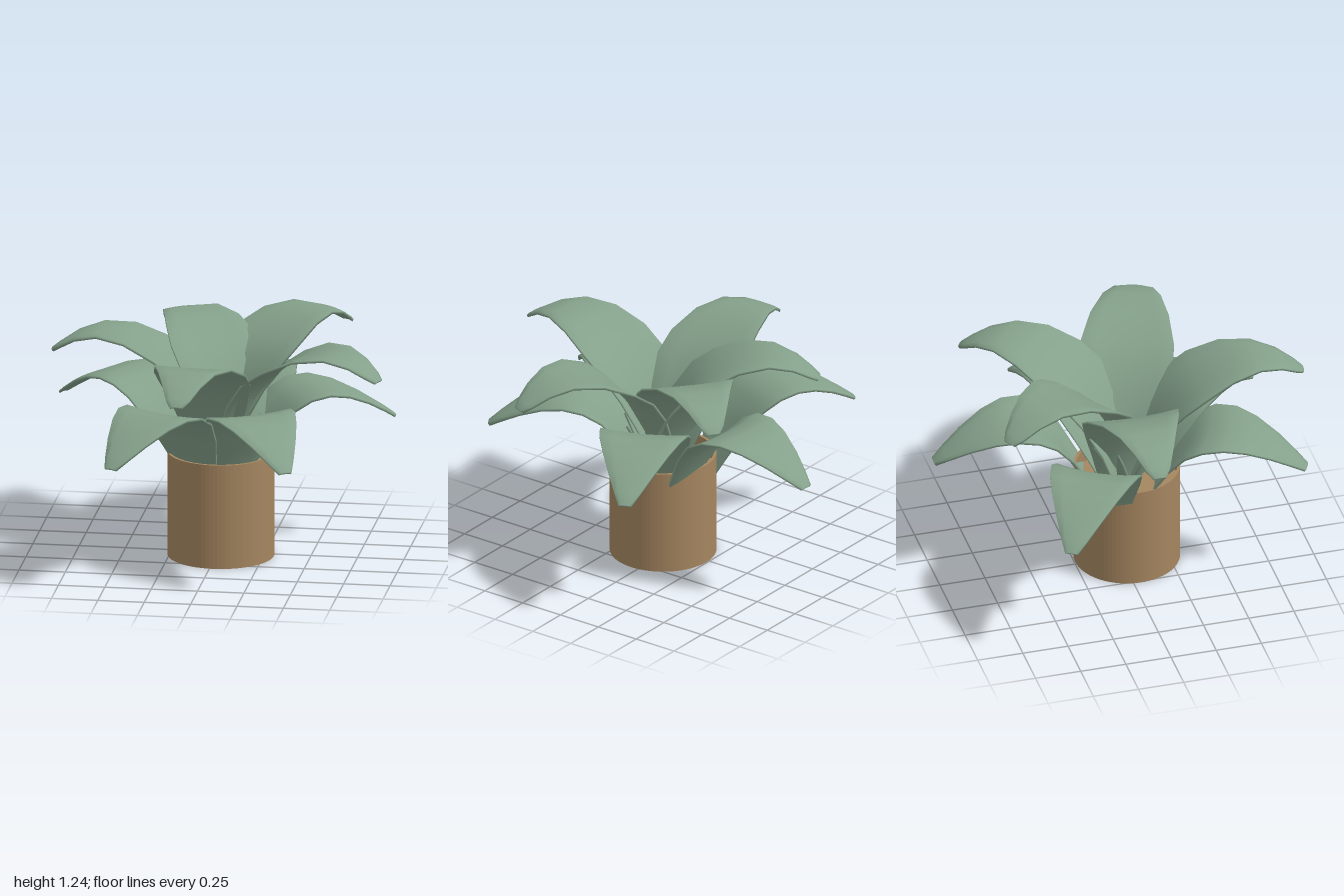
import * as THREE from 'three';

const GREEN = new THREE.MeshStandardMaterial({ color: 0x84a08a });
const BROWN = new THREE.MeshStandardMaterial({ color: 0xa58660 });

// Leaf midribs: [outward distance, height, half width], base to tip
const UPPER = [
  [0.02, 0.5, 0.1], [0.07, 0.68, 0.15], [0.16, 0.87, 0.21], [0.26, 1.01, 0.25], [0.37, 1.1, 0.25],
  [0.53, 1.185, 0.21], [0.69, 1.21, 0.155], [0.82, 1.175, 0.105], [0.91, 1.12, 0.065], [0.95, 1.09, 0.035],
];
const LOWER = [
  [0.12, 0.4, 0.1], [0.21, 0.56, 0.15], [0.29, 0.7, 0.2], [0.38, 0.82, 0.235], [0.47, 0.88, 0.24],
  [0.58, 0.902, 0.22], [0.7, 0.882, 0.18], [0.83, 0.825, 0.125], [0.94, 0.755, 0.07], [1.0, 0.71, 0.035],
];
// Slender young shoot
const SHOOT = [[0.03, 0.45, 0.025], [0.1, 0.57, 0.03], [0.16, 0.68, 0.02], [0.21, 0.77, 0.003]];

// Thin closed blade swept along a midrib; cupped near the base, rims turned down near the tip
function bladeGeometry(rib, thick) {
  const n = 6, loop = 2 * (n + 1), pos = [], index = [];
  rib.forEach(([r, y, w], i) => {
    const a = rib[Math.max(i - 1, 0)], b = rib[Math.min(i + 1, rib.length - 1)];
    const dir = new THREE.Vector2(b[0] - a[0], b[1] - a[1]).normalize();
    const bend = THREE.MathUtils.lerp(0.22, -0.14, i / (rib.length - 1)) * w;
    for (let k = 0; k < loop; k++) {
      const top = k <= n;
      const u = ((top ? k : loop - 1 - k) / n) * 2 - 1;
      const off = bend * u * u + (top ? 0 : -thick);
      pos.push(u * w, y + dir.x * off, r - dir.y * off);
    }
  });
  for (let i = 0; i < rib.length - 1; i++) {
    for (let k = 0; k < loop; k++) {
      const a = i * loop + k, b = i * loop + ((k + 1) % loop);
      index.push(a, a + loop, b, b, a + loop, b + loop);
    }
  }
  // tip cap
  const e = (rib.length - 1) * loop;
  for (let k = 0; k < n; k++) {
    const a = e + k, b = a + 1, c = e + loop - 1 - k, d = c - 1;
    index.push(a, c, b, b, c, d);
  }
  const g = new THREE.BufferGeometry();
  g.setAttribute('position', new THREE.Float32BufferAttribute(pos, 3));
  g.setIndex(index);
  g.computeVertexNormals();
  return g;
}

function add(parent, name, geometry, material) {
  const mesh = new THREE.Mesh(geometry, material);
  mesh.name = name;
  parent.add(mesh);
  return mesh;
}

// Places leaves so each tip lands on [x, z] with heading [dx, dz]
function leafTier(name, rib, leaves) {
  const tier = new THREE.Group();
  tier.name = name;
  const geometry = bladeGeometry(rib, 0.014);
  const reach = rib[rib.length - 1][0];
  for (const [x, z, dx, dz, lift = 0] of leaves) {
    const d = new THREE.Vector2(dx, dz).normalize();
    const leaf = add(tier, 'leaf', geometry, GREEN);
    leaf.position.set(x - d.x * reach, lift, z - d.y * reach);
    leaf.rotation.y = Math.atan2(d.x, d.y);
  }
  return tier;
}

export function createModel() {
  const model = new THREE.Group();
  model.name = 'pottedPlant';

  // Pot: straight cylinder with a thin wall, soil just below the rim
  const pot = new THREE.Group();
  pot.name = 'pot';
  pot.position.set(0.02, 0, 0.04);
  const wall = new THREE.Shape().absarc(0, 0, 0.285, 0, Math.PI * 2);
  wall.holes.push(new THREE.Path().absarc(0, 0, 0.27, 0, Math.PI * 2, true));
  const wallGeometry = new THREE.ExtrudeGeometry(wall, { depth: 0.575, bevelEnabled: false, curveSegments: 40 });
  add(pot, 'potWall', wallGeometry.rotateX(-Math.PI / 2), BROWN);
  add(pot, 'potFilling', new THREE.CylinderGeometry(0.272, 0.272, 0.49, 40).translate(0, 0.245, 0), BROWN);
  model.add(pot);

  // Two tiers of five arching leaves
  model.add(leafTier('upperLeaves', UPPER, [
    [0.6, -0.72, 0.64, -0.77, 0.03],
    [0.92, 0.34, 0.94, 0.34],
    [-0.08, 0.99, -0.07, 1],
    [-0.9, -0.03, -1, -0.02],
    [-0.36, -0.72, -0.52, -0.85],
  ]));
  model.add(leafTier('lowerLeaves', LOWER, [
    [0.14, -1, 0.05, -1],
    [0.9, -0.35, 0.9, -0.42],
    [0.49, 0.85, 0.5, 0.87],
    [-0.45, 0.91, -0.42, 0.91],
    [-0.92, -0.53, -0.87, -0.49],
  ]));

  // Young shoots between the leaf bases
  const shoots = new THREE.Group();
  shoots.name = 'shoots';
  shoots.position.set(0.02, 0, 0.04);
  const shootGeometry = bladeGeometry(SHOOT, 0.01);
  for (let i = 0; i < 8; i++) {
    add(shoots, 'shoot', shootGeometry, GREEN).rotation.y = (i / 8) * Math.PI * 2 + 0.3;
  }
  model.add(shoots);
  return model;
}
